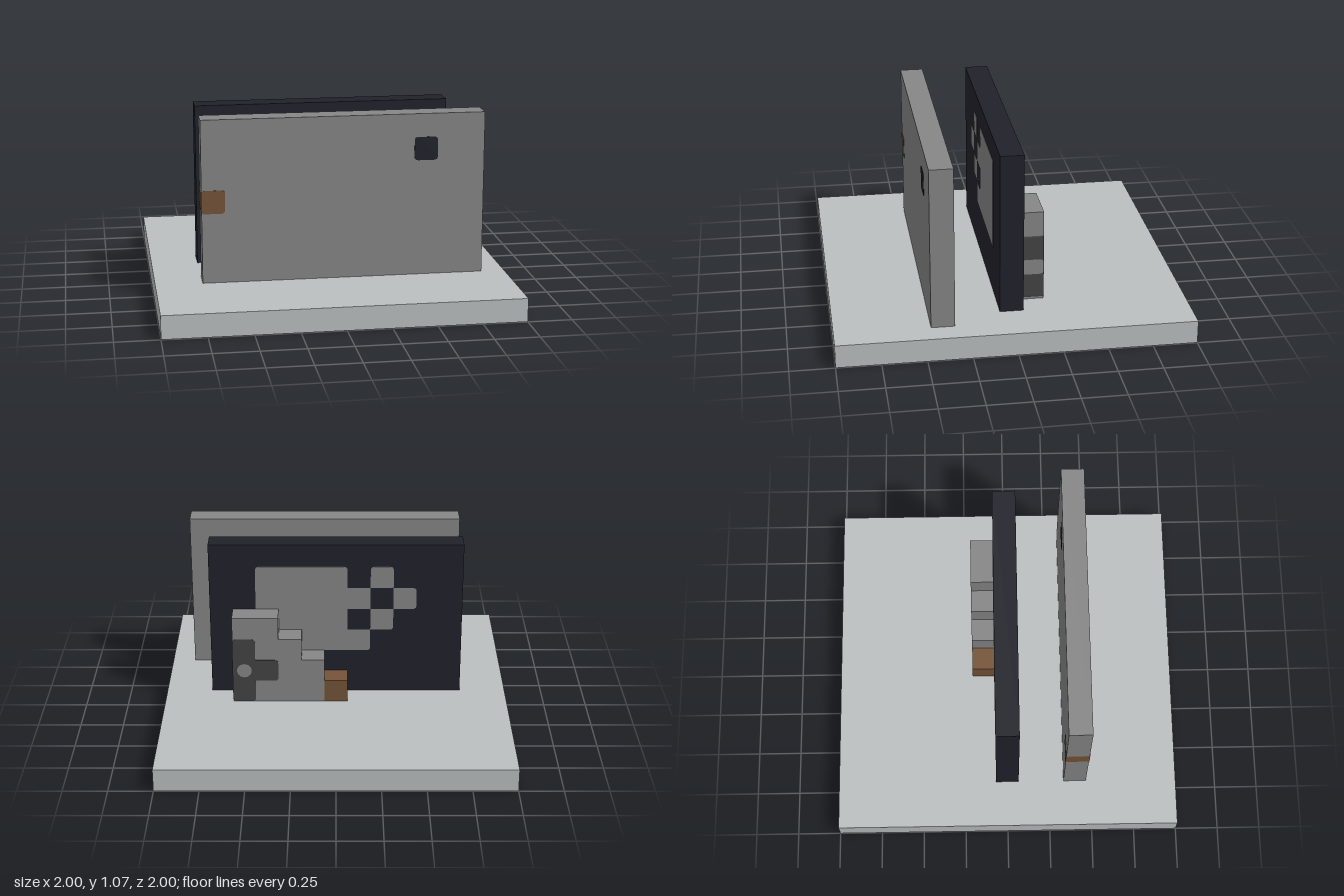
import * as THREE from 'three';

const U = 2 / 15;      // one block
const LIFT = 0.002;    // how far an inlay stands proud of its wall

const mat = (name, color) => {
  const m = new THREE.MeshStandardMaterial({ color });
  m.name = name;
  return m;
};

// Rectangle whose flagged corners (bl, br, tr, tl) are rounded
function roundedRect(x, y, w, h, flags, radius = 0.022) {
  const r = flags.map((f) => (f ? radius : 0));
  const s = new THREE.Shape();
  s.moveTo(x + r[0], y);
  s.lineTo(x + w - r[1], y);
  if (r[1]) s.quadraticCurveTo(x + w, y, x + w, y + r[1]);
  s.lineTo(x + w, y + h - r[2]);
  if (r[2]) s.quadraticCurveTo(x + w, y + h, x + w - r[2], y + h);
  s.lineTo(x + r[3], y + h);
  if (r[3]) s.quadraticCurveTo(x, y + h, x, y + h - r[3]);
  s.lineTo(x, y + r[0]);
  if (r[0]) s.quadraticCurveTo(x, y, x + r[0], y);
  return s;
}

export function createModel() {
  const model = new THREE.Group();
  model.name = 'blockWalls';

  const stone = mat('stone grey', 0x868686);
  const pale = mat('pale grey', 0xbbbfbf);
  const dark = mat('night blue', 0x21212b);
  const brown = mat('brown', 0x755438);
  const charcoal = mat('charcoal', 0x444444);

  const add = (name, geometry, material, x = 0, y = 0, z = 0) => {
    const mesh = new THREE.Mesh(geometry, material);
    mesh.name = name;
    mesh.position.set(x, y, z);
    model.add(mesh);
    return mesh;
  };

  // Box covering whole blocks: column k, row r above the base, centred on z
  const blocks = (name, material, k, r, w, h, z) =>
    add(name, new THREE.BoxGeometry(w * U, h * U, U), material,
      -1 + (k + w / 2) * U, (1 + r + h / 2) * U, z);

  // Coloured cells running through a wall, with outer corners rounded
  function inlay(name, material, cells, z, shiftX = 0) {
    const has = (k, r) => cells.some((c) => c[0] === k && c[1] === r);
    const shapes = cells.map(([k, r]) => {
      const open = (dx, dy) => !has(k + dx, r) && !has(k, r + dy) && !has(k + dx, r + dy);
      return roundedRect(-1 + k * U, (r + 1) * U, U, U,
        [open(-1, -1), open(1, -1), open(1, 1), open(-1, 1)]);
    });
    const geometry = new THREE.ExtrudeGeometry(shapes,
      { depth: U + 2 * LIFT, bevelEnabled: false, curveSegments: 5 });
    return add(name, geometry, material, shiftX, 0, z - U / 2 - LIFT);
  }

  // Base slab and the small round spot beneath it
  add('base', new THREE.BoxGeometry(2, U, 2), pale, 0, U / 2, 0);
  add('baseSpot', new THREE.CircleGeometry(0.045, 20), stone, 0, -0.001, 0).rotation.x = Math.PI / 2;

  // Front wall with two inlaid blocks
  const frontZ = 3 * U;
  blocks('frontWall', stone, 2, 0, 12, 7, frontZ);
  inlay('frontWallBrownBlock', brown, [[2, 3]], frontZ, -LIFT);
  inlay('frontWallDarkBlock', dark, [[11, 5]], frontZ);

  // Middle wall with a grey pattern: square body and chequered tail
  blocks('darkWall', dark, 2, 0, 11, 7, 0);
  const pattern = [[5, 5], [6, 4], [4, 4], [5, 3], [6, 2]];
  for (let k = 7; k <= 10; k++) for (let r = 2; r <= 5; r++) pattern.push([k, r]);
  inlay('darkWallPattern', stone, pattern, 0);

  // Staircase behind the middle wall
  const stairZ = -U;
  [[7, 1, 1], [8, 1, 2], [9, 1, 3], [10, 2, 4]].forEach(([k, w, h], i) =>
    blocks('step' + (i + 1), i ? stone : brown, k, 0, w, h, stairZ));

  // Charcoal patch on the tall step, with grey spots on its back and side
  inlay('stepPatch', charcoal, [[11, 0], [11, 1], [11, 2], [10, 1]], stairZ, LIFT);
  const spotY = 2.5 * U;
  add('stepBackSpot', new THREE.CircleGeometry(0.043, 20), stone,
    -1 + 11.5 * U, spotY, stairZ - U / 2 - 2 * LIFT).rotation.y = Math.PI;
  const sideSpot = new THREE.ShapeGeometry(
    roundedRect(-U / 2, -0.045, U, 0.09, [1, 1, 1, 1]), 5);
  add('stepSideSpot', sideSpot, stone, -1 + 12 * U + 2 * LIFT, spotY, stairZ).rotation.y = Math.PI / 2;

  return model;
}
